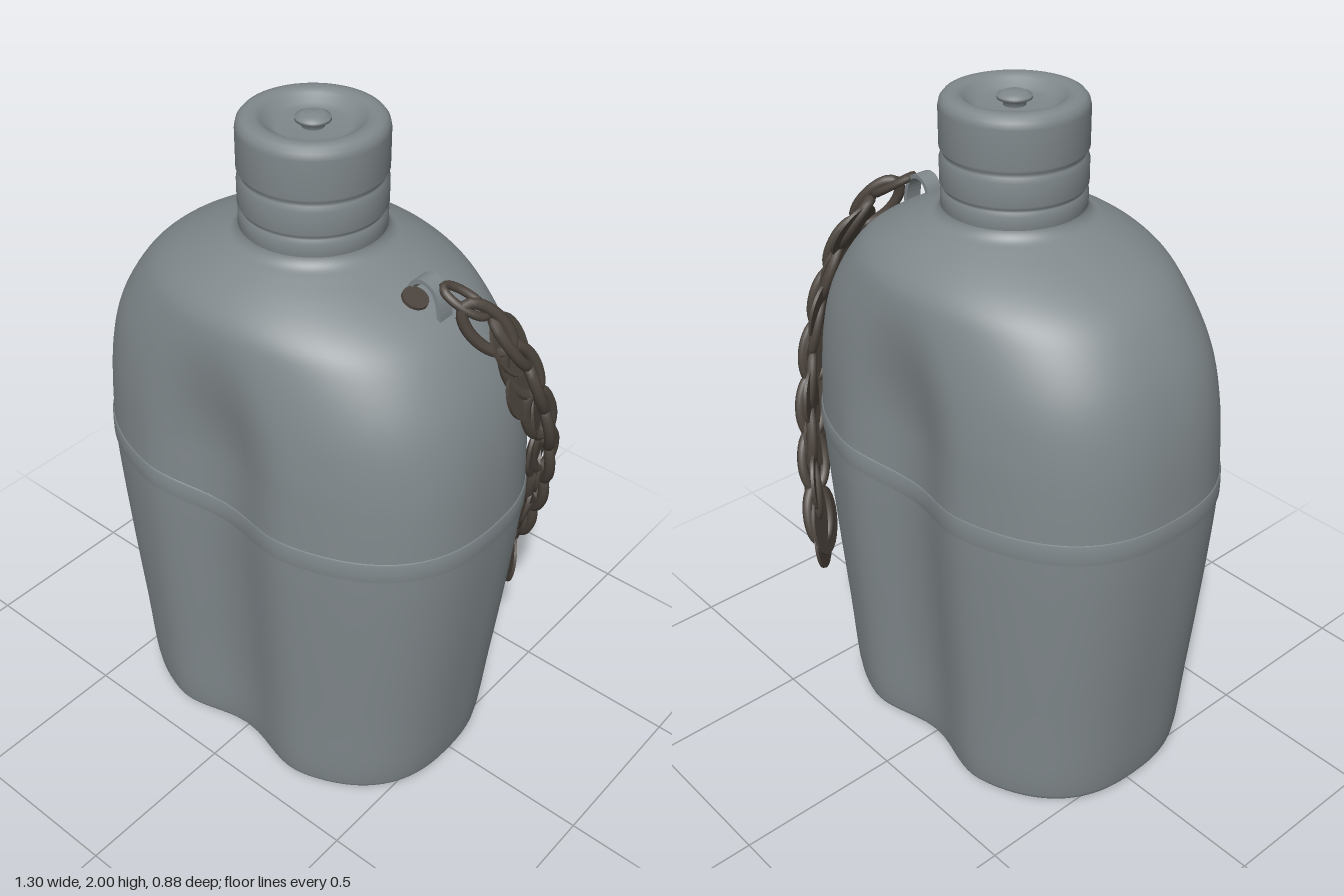
import * as THREE from 'three';

const CZ = 0.022; // depth centre of the bottle
const V = (x, y, z) => new THREE.Vector3(x, y, z);

// Strength (0..1) of the vertical hollow on front and back, arched at its top
function hollow(x, y) {
  const t = Math.hypot(x / 0.27, Math.max(0, y - 1.12) / 0.41);
  return t >= 1 ? 0 : Math.cos(t * Math.PI / 2) ** 2;
}

// Skin a stack of superellipse rows [y, halfWidth, halfDepth]
function loft(rows, steps, seg = 128) {
  const curve = new THREE.CatmullRomCurve3(rows.map(([y, w, d]) => V(w, y, d)), false, 'centripetal');
  const stack = steps ? curve.getPoints((rows.length - 1) * steps) : rows.map(([y, w, d]) => V(w, y, d));
  const pos = [], index = [];
  stack.forEach((r, i) => {
    const n = 2.5 - 0.5 * THREE.MathUtils.smoothstep(r.y, 1.3, 1.66);
    for (let j = 0; j < seg; j++) {
      const a = j / seg * Math.PI * 2, c = Math.cos(a), s = Math.sin(a);
      const x = r.x * Math.sign(c) * Math.abs(c) ** (2 / n);
      let z = r.z * Math.sign(s) * Math.abs(s) ** (2 / n);
      const h = hollow(x, r.y);
      z -= Math.sign(z) * Math.min(Math.abs(z), 0.065 * h * Math.min(1, r.z / 0.39) * Math.abs(s));
      // the seam dips where it crosses the hollow
      const dip = 0.032 * h * Math.exp(-(((r.y - 0.97) / 0.12) ** 2)) * Math.abs(s);
      pos.push(x, r.y - dip, z + CZ);
      if (i < stack.length - 1) {
        const k = (j + 1) % seg, p = i * seg, q = p + seg;
        index.push(p + j, q + j, p + k, q + j, q + k, p + k);
      }
    }
  });
  const g = new THREE.BufferGeometry();
  g.setAttribute('position', new THREE.Float32BufferAttribute(pos, 3));
  g.setIndex(index);
  g.computeVertexNormals();
  return g;
}

export function createModel() {
  const root = new THREE.Group();
  root.name = 'canteen';
  const metal = new THREE.MeshStandardMaterial({ color: 0x80888b });
  metal.name = 'grey metal';
  const iron = new THREE.MeshStandardMaterial({ color: 0x4c443d });
  iron.name = 'dark brown iron';

  const add = (name, geometry, material, parent = root) => {
    const m = new THREE.Mesh(geometry, material);
    m.name = name;
    parent.add(m);
    return m;
  };

  // Body: base, lower cup, seam band and domed shoulder
  add('base', loft([[0.012, 0.002, 0.002], [0.01, 0.3, 0.2], [0.006, 0.48, 0.33], [0, 0.525, 0.37]], 0), metal);
  add('lowerBody', loft([
    [0, 0.525, 0.37], [0.006, 0.541, 0.387], [0.025, 0.55, 0.397], [0.3, 0.58, 0.412],
    [0.6, 0.61, 0.428], [0.85, 0.631, 0.439], [0.935, 0.636, 0.441],
  ], 4), metal);
  add('seamBand', loft([
    [0.935, 0.636, 0.441], [0.937, 0.64, 0.445], [0.967, 0.64, 0.445], [0.996, 0.639, 0.444], [0.998, 0.635, 0.44],
  ], 0), metal);
  add('shoulder', loft([
    [0.998, 0.635, 0.44], [1.1, 0.63, 0.436], [1.2, 0.62, 0.431], [1.3, 0.6, 0.421], [1.4, 0.565, 0.408],
    [1.5, 0.505, 0.392], [1.55, 0.458, 0.378], [1.59, 0.4, 0.348], [1.63, 0.32, 0.295],
    [1.66, 0.245, 0.24], [1.675, 0.212, 0.21], [1.695, 0.197, 0.197], [1.72, 0.194, 0.194],
  ], 4), metal);

  // Screw cap with two grooves and a dished top
  const cap = [
    [0.19, 1.69], [0.197, 1.7], [0.197, 1.735], [0.19, 1.745], [0.19, 1.752], [0.198, 1.762],
    [0.198, 1.826], [0.189, 1.838], [0.189, 1.848], [0.198, 1.86], [0.198, 1.965], [0.194, 1.982],
    [0.184, 1.994], [0.168, 1.999], [0.148, 1.998], [0.133, 1.99], [0.115, 1.972], [0.095, 1.964], [0, 1.964],
  ].map(([r, y]) => new THREE.Vector2(r, y));
  add('cap', new THREE.LatheGeometry(cap, 64), metal).position.z = CZ;

  // Small rivet-like knob on the cap
  const knob = [[0.03, 1.96], [0.03, 1.978], [0.047, 1.982], [0.046, 1.99], [0.03, 1.998], [0, 2]]
    .map(([r, y]) => new THREE.Vector2(r, y));
  add('capKnob', new THREE.LatheGeometry(knob, 32), metal).position.z = CZ;

  // Bent strip on the shoulder that holds the chain
  const strip = new THREE.Shape();
  strip.moveTo(0.32, 1.6);
  strip.quadraticCurveTo(0.325, 1.668, 0.375, 1.668);
  strip.quadraticCurveTo(0.43, 1.66, 0.435, 1.57);
  strip.lineTo(0.422, 1.57);
  strip.quadraticCurveTo(0.418, 1.65, 0.375, 1.656);
  strip.quadraticCurveTo(0.336, 1.656, 0.332, 1.6);
  strip.closePath();
  add('chainBracket', new THREE.ExtrudeGeometry(strip, { depth: 0.05, bevelEnabled: false, curveSegments: 10 }), metal)
    .position.z = -0.012;

  // Chain draped over the shoulder towards the back
  const chain = new THREE.Group();
  chain.name = 'chain';
  root.add(chain);
  const path = new THREE.CatmullRomCurve3([
    V(0.42, 1.625, 0), V(0.5, 1.56, -0.05), V(0.57, 1.42, -0.125), V(0.6, 1.25, -0.19),
    V(0.59, 1.08, -0.25), V(0.555, 0.9, -0.3), V(0.495, 0.72, -0.345), V(0.45, 0.6, -0.37),
  ]);
  const oval = (w, h) => {
    const pts = [];
    for (let i = 0; i < 12; i++) {
      const a = i / 12 * Math.PI * 2;
      pts.push(V(w * Math.cos(a), h * Math.sin(a), 0));
    }
    return new THREE.TubeGeometry(new THREE.CatmullRomCurve3(pts, true), 28, 0.016, 8, true);
  };
  const linkGeo = oval(0.042, 0.09);
  const discGeo = new THREE.CylinderGeometry(0.09, 0.09, 0.009, 28).rotateX(Math.PI / 2);

  // Orient a piece: y along the chain, z away from the body
  const place = (mesh, u, side, out, twist) => {
    const p = path.getPointAt(u), t = path.getTangentAt(u);
    const n = V(p.x, 0, p.z - CZ).normalize();
    n.addScaledVector(t, -n.dot(t)).normalize();
    const s = t.clone().cross(n);
    mesh.quaternion.setFromRotationMatrix(new THREE.Matrix4().makeBasis(s, t, n));
    mesh.rotateY(twist);
    mesh.position.copy(p).addScaledVector(s, side).addScaledVector(n, out);
  };
  const links = 14;
  for (let i = 0; i < links; i++) {
    const flip = i % 2 ? 1 : -1;
    const link = add('chainLink', linkGeo, iron, chain);
    place(link, 0.04 + 0.94 * i / (links - 1), 0.012 * flip, 0.012, flip * 0.6);
    if (i === 0) link.scale.setScalar(0.75);
  }
  for (let i = 0; i < 8; i++) {
    const flip = i % 2 ? 1 : -1;
    const disc = add('chainDisc', discGeo, iron, chain);
    place(disc, 0.2 + 0.8 * i / 7, 0.018 * flip, -0.004, 0.15 * flip);
    disc.scale.set(i === 7 ? 1 : 0.85, i === 7 ? 1.2 : 1.05, 1);
  }

  // Hanging end disc and the small tab under the bracket
  const end = add('endDisc', discGeo, iron, chain);
  place(end, 1, 0, 0.02, 0);
  end.position.set(0.46, 0.525, -0.365);
  const tab = add('bracketTab', new THREE.CylinderGeometry(0.036, 0.036, 0.009, 20), iron, chain);
  tab.position.set(0.365, 1.622, 0.055);
  tab.rotation.z = -0.4;

  return root;
}
